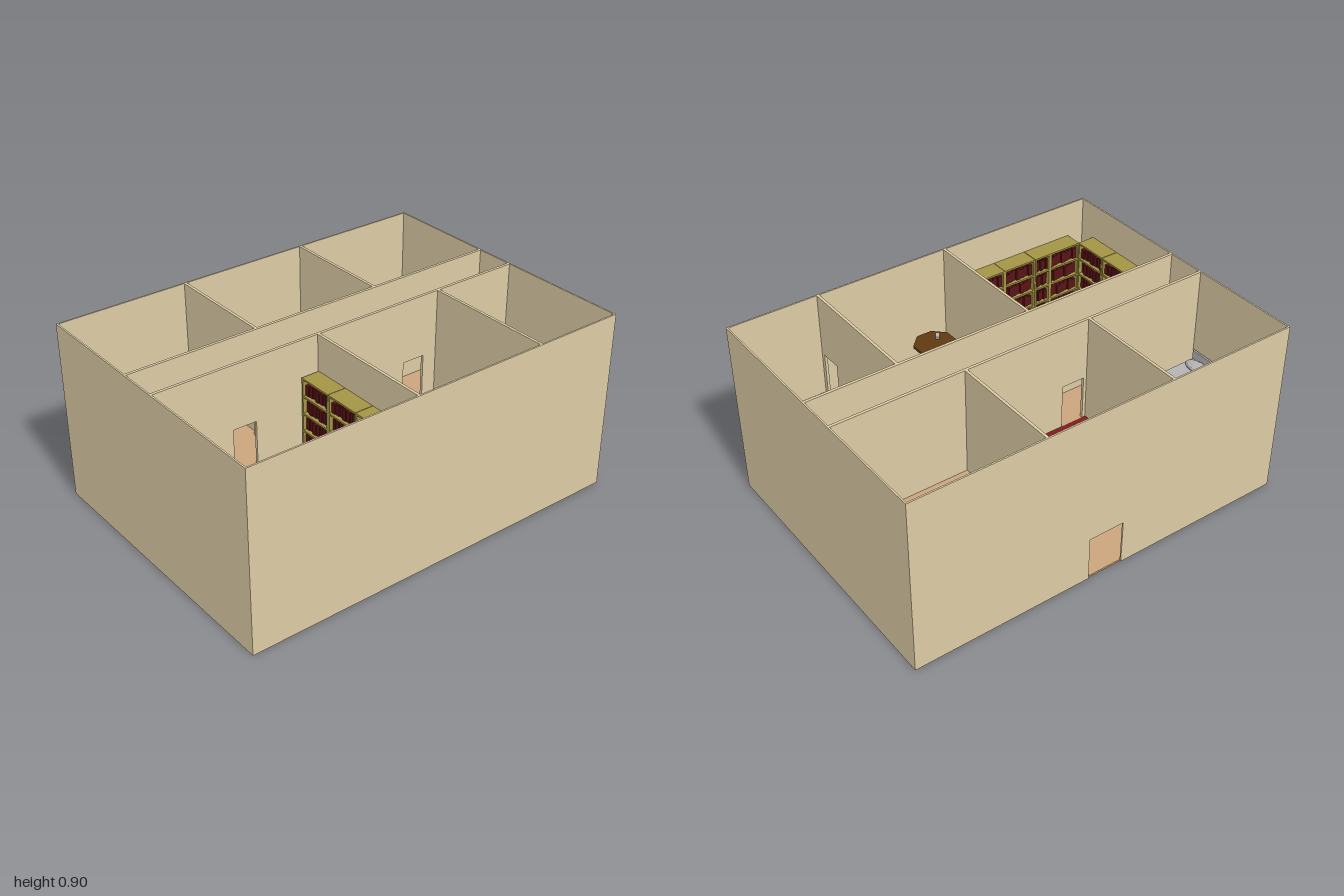
import * as THREE from 'three';

const mat = (color) => new THREE.MeshStandardMaterial({ color, flatShading: true });
const M = {
  wall: mat(0xdccaa4), floor: mat(0xcaa57c), tile: mat(0xb2b2b2), carpet: mat(0x801c1c), shelf: mat(0xa39545),
  book: mat(0x5a1216), table: mat(0x5f3a12), wood: mat(0xa07c4e), pale: mat(0xd2b48c), grey: mat(0xb4b4b4),
  rose: mat(0x6a3030),
};
const F2 = 0.36; // upper floor level
const TOP = 0.9;

function add(parent, name, geo, material, x = 0, y = 0, z = 0) {
  const m = new THREE.Mesh(geo, material);
  m.name = name;
  m.position.set(x, y, z);
  parent.add(m);
  return m;
}
// Box given by its min and max corners
function box(parent, name, material, x0, x1, y0, y1, z0, z1) {
  return add(parent, name, new THREE.BoxGeometry(x1 - x0, y1 - y0, z1 - z0), material,
    (x0 + x1) / 2, (y0 + y1) / 2, (z0 + z1) / 2);
}
function group(parent, name, x, y, z, turn = 0) {
  const g = new THREE.Group();
  g.name = name;
  g.position.set(x, y, z);
  g.rotation.y = turn;
  parent.add(g);
  return g;
}

// Straight wall along 'x' or 'z' between c0 and c1, with door openings [centre, width]
function wall(parent, name, axis, c0, c1, from, to, y0, y1, doors = [], doorH = 0.225) {
  const piece = (a, b, lo, hi) => (axis === 'x'
    ? box(parent, name, M.wall, a, b, lo, hi, c0, c1)
    : box(parent, name, M.wall, c0, c1, lo, hi, a, b));
  let start = from;
  for (const [c, w] of doors) {
    piece(start, c - w / 2, y0, y1);
    piece(c - w / 2, c + w / 2, y0 + doorH, y1);
    start = c + w / 2;
  }
  piece(start, to, y0, y1);
}

// Bed with the pillow end at local -x
function bed(parent, x, y, z, len, width, pillows, turn = 0) {
  const g = group(parent, 'bed', x, y, z, turn);
  const l = len / 2, w = width / 2;
  box(g, 'mattress', M.grey, -l + 0.01, l - 0.008, 0.025, 0.075, -w + 0.004, w - 0.004);
  box(g, 'headboard', M.grey, -l, -l + 0.01, 0, 0.12, -w, w);
  box(g, 'footboard', M.grey, l - 0.008, l, 0, 0.085, -w, w);
  const pw = (width - 0.02) / pillows;
  for (let i = 0; i < pillows; i++) {
    const p = add(g, 'pillow', new THREE.SphereGeometry(0.5, 10, 6), M.grey,
      -l + 0.055, 0.085, -w + 0.01 + pw * (i + 0.5));
    p.scale.set(0.075, 0.04, pw);
    p.rotation.y = i ? -0.08 : 0.05;
  }
}

// Eight-sided table with a small item on it
function table(parent, x, y, z, turn, ix, iz) {
  const g = group(parent, 'table', x, y, z, turn);
  add(g, 'tableTop', new THREE.CylinderGeometry(0.107, 0.107, 0.014, 8), M.table, 0, 0.125, 0);
  add(g, 'tableLeg', new THREE.CylinderGeometry(0.015, 0.02, 0.12, 8), M.table, 0, 0.06, 0);
  add(g, 'tableFoot', new THREE.CylinderGeometry(0.05, 0.06, 0.012, 8), M.table, 0, 0.006, 0);
  add(g, 'tableItem', new THREE.BoxGeometry(0.04, 0.012, 0.018), M.grey, ix, 0.138, iz).rotation.y = 0.6;
}

// Drawer cabinet facing local +x, with a flower pot
function dresser(parent, x, y, z, turn = 0) {
  const g = group(parent, 'dresser', x, y, z, turn);
  box(g, 'dresserBody', M.wood, -0.05, 0.042, 0.012, 0.12, -0.075, 0.075);
  box(g, 'dresserTop', M.wood, -0.054, 0.048, 0.12, 0.13, -0.083, 0.083);
  for (const sx of [-0.04, 0.034]) for (const sz of [-0.065, 0.065])
    add(g, 'dresserFoot', new THREE.CylinderGeometry(0.007, 0.005, 0.014, 6), M.wood, sx, 0.007, sz);
  for (const dy of [0.04, 0.09]) for (const dz of [-0.037, 0.037]) {
    box(g, 'drawer', M.wood, 0.042, 0.046, dy - 0.02, dy + 0.02, dz - 0.033, dz + 0.033);
    add(g, 'knob', new THREE.SphereGeometry(0.005, 6, 5), M.table, 0.051, dy, dz);
  }
  add(g, 'flowerPot', new THREE.CylinderGeometry(0.018, 0.012, 0.03, 8), M.wood, 0, 0.145, -0.02);
  for (let i = 0; i < 7; i++) {
    const a = (i * Math.PI) / 3, r = i < 6 ? 0.016 : 0;
    add(g, 'flower', new THREE.IcosahedronGeometry(0.009), M.rose,
      r * Math.cos(a), i < 6 ? 0.166 : 0.174, -0.02 + r * Math.sin(a));
  }
}

function chair(parent, x, y, z, turn) {
  const g = group(parent, 'chair', x, y, z, turn);
  box(g, 'seat', M.pale, -0.033, 0.033, 0.065, 0.075, -0.033, 0.033);
  box(g, 'chairBack', M.pale, -0.033, -0.026, 0.075, 0.15, -0.033, 0.033);
  for (const sx of [-0.028, 0.028]) for (const sz of [-0.028, 0.028])
    box(g, 'chairLeg', M.pale, sx - 0.005, sx + 0.005, 0, 0.065, sz - 0.005, sz + 0.005);
}

// Bookcase whose open side is local +z
function bookcase(parent, x, z, width, turn) {
  const g = group(parent, 'bookcase', x, F2, z, turn);
  const w = width / 2, d = 0.047, h = 0.36, t = 0.009;
  box(g, 'caseBack', M.shelf, -w, w, 0, h, -d, -d + t);
  for (const s of [-1, 1]) box(g, 'caseSide', M.shelf, s * w - (s > 0 ? t : 0), s * w + (s < 0 ? t : 0), 0, h, -d, d);
  for (let i = 0; i < 5; i++) {
    const y = (i * (h - t)) / 4;
    box(g, 'caseShelf', M.shelf, -w, w, y, y + t, -d, d);
    for (let b = 0; b < 7 && i < 4; b++) {
      const bw = (width - 2 * t) / 7, bx = -w + t + b * bw;
      box(g, 'book', M.book, bx + 0.001, bx + bw - 0.001, y + t, y + 0.072 - ((b * 3 + i) % 4) * 0.004,
        -d + t, d - 0.012 - ((b + i) % 3) * 0.004);
    }
  }
}

function bathroom(parent, y) {
  const g = group(parent, 'bathroom', 0, y, 0);
  box(g, 'tiles', M.tile, 0.55, 0.99, 0, 0.002, 0.06, 0.717);
  // Tub: rounded outline with a hollow, plus a bottom
  const oval = (S, w, h, r) => new S().absellipse(0, 0, 0, 0, 0, 0) && new S()
    .moveTo(-w + r, -h).lineTo(w - r, -h).quadraticCurveTo(w, -h, w, -h + r).lineTo(w, h - r)
    .quadraticCurveTo(w, h, w - r, h).lineTo(-w + r, h).quadraticCurveTo(-w, h, -w, h - r)
    .lineTo(-w, -h + r).quadraticCurveTo(-w, -h, -w + r, -h);
  const tub = oval(THREE.Shape, 0.072, 0.152, 0.02);
  tub.holes.push(oval(THREE.Path, 0.058, 0.135, 0.035));
  const rim = new THREE.ExtrudeGeometry(tub, { depth: 0.09, bevelEnabled: false, curveSegments: 5 });
  add(g, 'tub', rim.rotateX(-Math.PI / 2), M.grey, 0.633, 0.002, 0.385);
  box(g, 'tubBottom', M.grey, 0.57, 0.696, 0.002, 0.025, 0.245, 0.525);
  // Toilet with a tall cistern
  box(g, 'cistern', M.grey, 0.55, 0.576, 0.09, 0.27, 0.1, 0.178);
  add(g, 'toiletBowl', new THREE.CylinderGeometry(0.042, 0.025, 0.085, 14), M.grey, 0.625, 0.043, 0.14).scale.x = 1.15;
  box(g, 'toiletNeck', M.grey, 0.55, 0.6, 0.03, 0.08, 0.12, 0.16);
  // Wash basin on a pillar
  add(g, 'basinPillar', new THREE.CylinderGeometry(0.016, 0.022, 0.11, 10), M.grey, 0.95, 0.055, 0.43);
  box(g, 'basinBottom', M.grey, 0.895, 0.99, 0.105, 0.115, 0.375, 0.487);
  for (const z of [0.375, 0.475]) box(g, 'basinRim', M.grey, 0.895, 0.99, 0.115, 0.14, z, z + 0.012);
  for (const [a, b] of [[0.895, 0.907], [0.965, 0.99]]) box(g, 'basinRim', M.grey, a, b, 0.115, 0.14, 0.387, 0.475);
  box(g, 'tap', M.grey, 0.945, 0.985, 0.155, 0.163, 0.426, 0.436);
  box(g, 'tapPost', M.grey, 0.975, 0.985, 0.14, 0.16, 0.426, 0.436);
}

function stairs(parent) {
  const g = group(parent, 'staircase', 0, 0, 0);
  const rise = F2 / 11;
  for (let i = 0; i < 5; i++) {
    const z = -0.48 + i * 0.033, x = 0.155 - i * 0.038;
    box(g, 'lowerStep', M.carpet, 0.16, 0.323, 0, rise * (i + 1), z, z + 0.033);
    box(g, 'upperStep', M.carpet, x - 0.038, x, rise * (i + 5.5), rise * (i + 7), -0.318, -0.16);
  }
  box(g, 'stairLanding', M.carpet, 0.155, 0.323, 0, rise * 6, -0.318, -0.16);
  // Carpet on the upper floor
  box(g, 'carpet', M.carpet, -0.325, -0.035, F2, F2 + 0.004, -0.318, -0.16);
  box(g, 'carpet', M.carpet, -0.325, -0.172, F2, F2 + 0.004, -0.717, -0.318);
  // Railings around the opening
  box(g, 'handrail', M.pale, -0.172, -0.162, F2 + 0.1, F2 + 0.108, -0.717, -0.32);
  box(g, 'handrail', M.pale, -0.172, -0.035, F2 + 0.1, F2 + 0.108, -0.33, -0.32);
  for (let i = 0; i < 10; i++) box(g, 'railPost', M.pale, -0.17, -0.164, F2, F2 + 0.1, -0.7 + i * 0.042, -0.694 + i * 0.042);
  for (let i = 0; i < 4; i++) box(g, 'railPost', M.pale, -0.14 + i * 0.033, -0.134 + i * 0.033, F2, F2 + 0.1, -0.328, -0.322);
  box(g, 'stairSide', M.pale, 0.145, 0.16, 0, rise * 6, -0.48, -0.318);
}

export function createModel() {
  const house = new THREE.Group();
  house.name = 'house';

  // Floors; the upper one is open above the stairs
  box(house, 'groundFloor', M.floor, -0.995, 0.995, 0, 0.01, -0.72, 0.72);
  const plan = new THREE.Shape([[-0.995, -0.72], [0.995, -0.72], [0.995, 0.72], [-0.995, 0.72]].map((p) => new THREE.Vector2(...p)));
  plan.holes.push(new THREE.Path([[-0.165, 0.717], [0.325, 0.717], [0.325, 0.16], [-0.035, 0.16], [-0.035, 0.325], [-0.165, 0.325]]
    .map((p) => new THREE.Vector2(...p))));
  const slab = new THREE.ExtrudeGeometry(plan, { depth: 0.012, bevelEnabled: false });
  add(house, 'upperFloor', slab.rotateX(-Math.PI / 2), M.floor, 0, F2 - 0.012, 0);

  // Outer walls, with the entrance at the back
  wall(house, 'backWall', 'x', -0.725, -0.717, -1, 1, 0, TOP, [[0, 0.185]], 0.23);
  wall(house, 'frontWall', 'x', 0.717, 0.725, -1, 1, 0, TOP);
  for (const s of [-1, 1]) wall(house, 'sideWall', 'z', s * 0.996 - 0.004, s * 0.996 + 0.004, -0.717, 0.717, 0, TOP);

  // Upper partition walls
  wall(house, 'corridorWall', 'x', -0.157, -0.143, -0.992, 0.992, F2, TOP, [[-0.42, 0.12], [-0.25, 0.12], [0.9, 0.12]]);
  wall(house, 'corridorWall', 'x', 0.044, 0.058, -0.992, 0.992, F2, TOP, [[-0.55, 0.12], [0.4, 0.12]]);
  for (const x of [-0.34, 0.325]) wall(house, 'partition', 'z', x, x + 0.014, -0.717, -0.157, F2, TOP);
  wall(house, 'partition', 'z', -0.156, -0.142, 0.058, 0.717, F2, TOP);
  wall(house, 'partition', 'z', 0.535, 0.549, 0.058, 0.717, F2, TOP, [[0.64, 0.11]]);

  // Ground partition walls
  const under = F2 - 0.012;
  wall(house, 'groundWall', 'x', 0.044, 0.058, -0.992, 0.992, 0, under, [[-0.5, 0.14], [0.2, 0.14]]);
  for (const x of [-0.34, 0.325]) wall(house, 'groundWall', 'z', x, x + 0.014, -0.717, 0.044, 0, under, [[-0.07, 0.12]]);
  wall(house, 'groundWall', 'z', 0.535, 0.549, 0.058, 0.717, 0, under, [[0.64, 0.11]]);
  // Tiled areas and counter showing on the underside
  box(house, 'groundTiles', M.tile, 0.54, 0.99, -0.001, 0.012, 0.14, 0.717);
  box(house, 'groundTiles', M.tile, -0.99, -0.72, -0.001, 0.012, -0.717, -0.15);
  box(house, 'counter', M.shelf, -0.11, 0.25, -0.001, 0.13, 0.61, 0.71);

  stairs(house);
  bathroom(house, F2);

  bed(house, -0.823, F2, -0.255, 0.315, 0.155, 1);
  bed(house, 0.743, F2, -0.557, 0.31, 0.27, 2, -Math.PI / 2);
  bed(house, 0.025, F2, 0.208, 0.31, 0.265, 2);

  table(house, -0.85, F2, -0.58, 0.3, 0.05, -0.03);
  table(house, -0.508, F2, 0.415, 0.15, 0.015, 0.06);
  table(house, 0.005, F2, 0.59, 0.39, -0.05, 0.02);

  dresser(house, -0.938, F2, -0.053);
  dresser(house, 0.398, F2, -0.405);
  dresser(house, 0.03, 0.01, -0.39, -Math.PI / 2);
  chair(house, -0.49, F2, -0.65, -0.75);
  chair(house, 0.52, F2, -0.65, 0.75);

  // Ring-shaped plant in the hall
  const plant = group(house, 'hallPlant', -0.01, 0.01, -0.47);
  add(plant, 'plantStem', new THREE.CylinderGeometry(0.006, 0.012, 0.12, 6), M.wood, 0, 0.06, 0);
  for (let i = 0; i < 9; i++) {
    const a = (i * Math.PI * 2) / 9;
    add(plant, 'plantLeaf', new THREE.TorusGeometry(0.01, 0.002, 4, 8).rotateX(Math.PI / 2), M.wood,
      0.03 * Math.cos(a), 0.125, 0.03 * Math.sin(a));
  }

  // Library shelves along three walls
  for (const z of [0.158, 0.345, 0.533]) {
    bookcase(house, -0.944, z, 0.185, Math.PI / 2);
    bookcase(house, -0.204, z, 0.185, -Math.PI / 2);
  }
  for (const x of [-0.808, -0.528, -0.343]) bookcase(house, x, 0.669, 0.183, Math.PI);
  bookcase(house, -0.67, 0.669, 0.095, Math.PI);
  return house;
}
